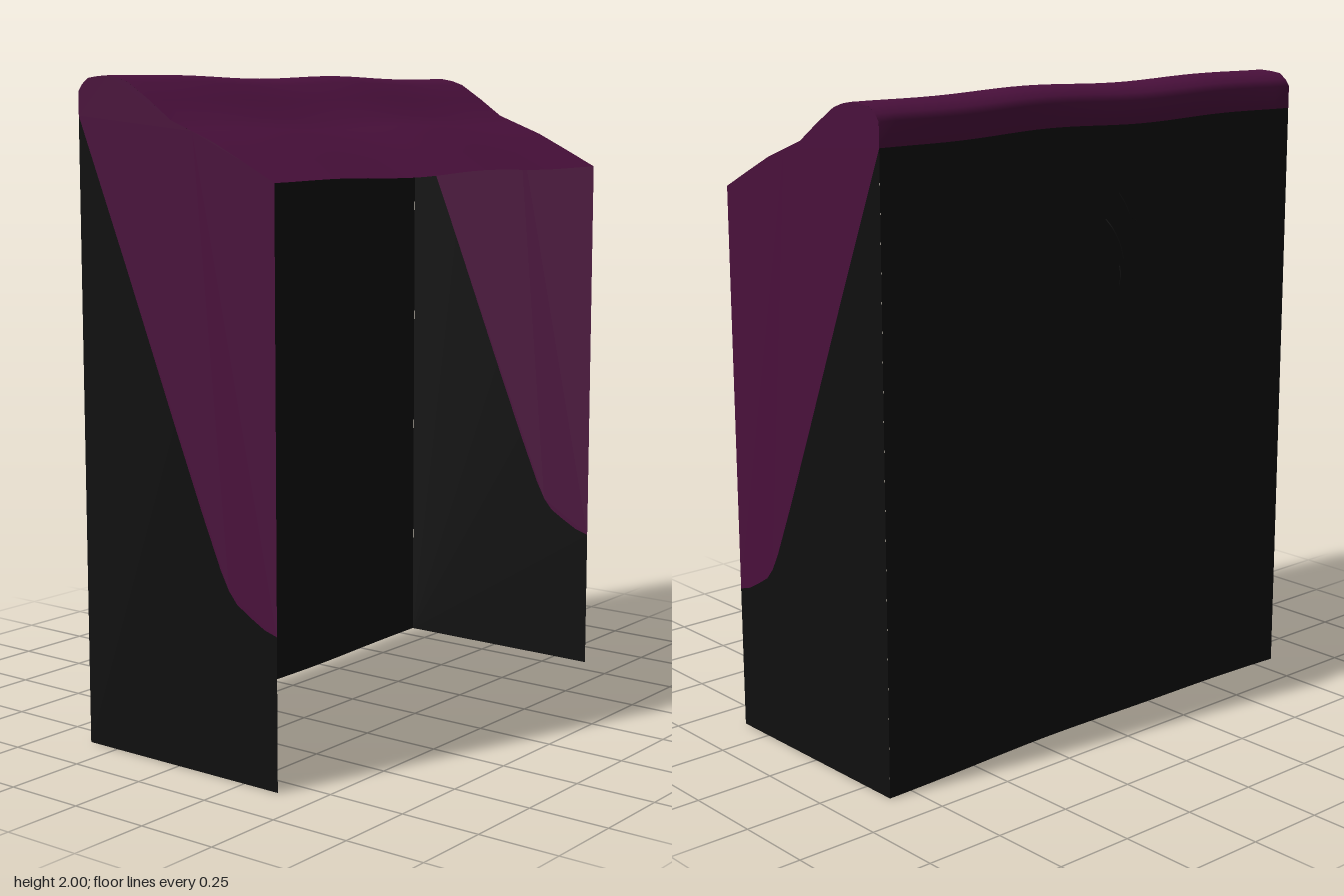
import * as THREE from 'three';

const HALF = 0.83, BACK = -0.36, FRONT = 0.375;

const plum = new THREE.MeshStandardMaterial({ color: 0x4a103c, side: THREE.DoubleSide });
plum.name = 'plum';
const black = new THREE.MeshStandardMaterial({ color: 0x0f0f0f, side: THREE.DoubleSide });
black.name = 'black';

// roof section as [z, y], from the back wall to the front edge
const roofLine = [
  [BACK, 1.88], [BACK, 1.95], [-0.345, 1.97], [-0.32, 1.988], [-0.28, 1.993], [-0.24, 1.995],
  [-0.2, 1.988], [-0.16, 1.975], [-0.08, 1.925], [0, 1.87], [0.08, 1.84], [0.16, 1.81], [0.27, 1.757], [FRONT, 1.705],
];
// edge between the plum and black side areas, from back to front
const sideLine = [
  [BACK, 1.88], [-0.18, 1.45], [0, 1.01], [0.1, 0.77], [0.17, 0.61], [0.2, 0.555], [0.23, 0.52], [0.28, 0.49], [0.33, 0.463], [FRONT, 0.45],
];

// gentle bulge of the cloth across the width
const backWave = x => 0.023 * Math.cos((x * Math.PI) / (2 * HALF)) + 0.003 * Math.sin(x * 7.5);
const roofWave = x => 0.006 * Math.sin(x * 7.5) * Math.cos((x * Math.PI) / (2 * HALF));

function add(group, name, geometry, material) {
  const mesh = new THREE.Mesh(geometry, material);
  mesh.name = name;
  group.add(mesh);
  return mesh;
}

// a sheet spanning the width; place(x, row) gives [y, z]
function sheet(rows, place) {
  const cols = 28;
  const g = new THREE.PlaneGeometry(2 * HALF, 1, cols, rows - 1);
  const p = g.attributes.position;
  for (let i = 0; i < p.count; i++) {
    const x = p.getX(i);
    const [y, z] = place(x, Math.floor(i / (cols + 1)));
    p.setXYZ(i, x, y, z);
  }
  g.computeVertexNormals();
  return g;
}

// flat panel from [z, y] points, standing in the side plane
function sidePanel(points) {
  const shape = new THREE.Shape(points.map(([z, y]) => new THREE.Vector2(z, y)));
  return new THREE.ShapeGeometry(shape).rotateY(-Math.PI / 2);
}

export function createModel() {
  const model = new THREE.Group();
  model.name = 'canopyBooth';

  // draped roof, bulging along with the back wall
  add(model, 'roof', sheet(roofLine.length, (x, row) => {
    const [z, y] = roofLine[row];
    const t = THREE.MathUtils.clamp((FRONT - z) / (FRONT - BACK), 0, 1);
    return [y + roofWave(x), z + backWave(x) * t * t - 0.6 * roofWave(x) * (1 - t)];
  }), plum);

  // back wall
  add(model, 'backWall', sheet(9, (x, row) => {
    const t = row / 8;
    return [t * (1.88 + roofWave(x)), BACK + backWave(x)];
  }), black);

  // two-tone side walls
  for (const side of [-1, 1]) {
    const wall = new THREE.Group();
    wall.name = side > 0 ? 'leftWall' : 'rightWall';
    wall.position.x = side * HALF;
    add(wall, 'upperSide', sidePanel([...sideLine, ...roofLine.slice(1).reverse()]), plum);
    add(wall, 'lowerSide', sidePanel([[BACK, 0], [FRONT, 0], ...[...sideLine].reverse()]), black);
    model.add(wall);
  }

  // loose threads on the back wall
  const threads = [
    [[-0.04, 1.6, -0.335], [-0.045, 1.57, -0.365], [-0.065, 1.52, -0.378], [-0.08, 1.48, -0.375]],
    [[-0.09, 1.68, -0.335], [-0.11, 1.64, -0.35], [-0.13, 1.6, -0.355], [-0.155, 1.58, -0.357]],
    [[-0.1, 1.46, -0.335], [-0.095, 1.42, -0.348], [-0.1, 1.38, -0.335]],
  ];
  threads.forEach(points => {
    const curve = new THREE.CatmullRomCurve3(points.map(p => new THREE.Vector3(...p)));
    add(model, 'looseThread', new THREE.TubeGeometry(curve, 12, 0.002, 5), black);
  });

  return model;
}
